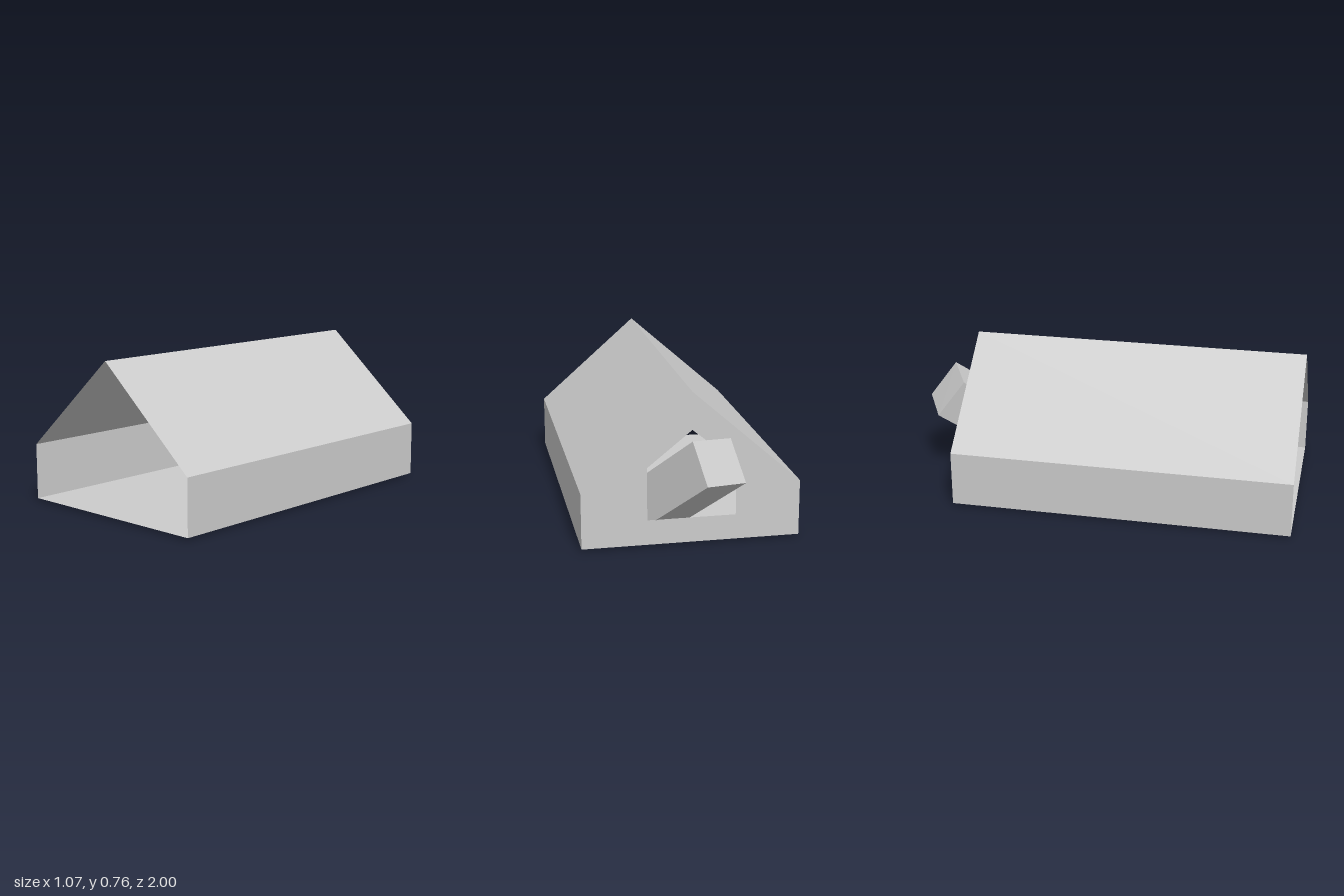
import * as THREE from 'three';

const material = new THREE.MeshStandardMaterial({ color: 0xcccccc, flatShading: true, side: THREE.DoubleSide });

function addMesh(parent, name, geometry) {
  const mesh = new THREE.Mesh(geometry, material);
  mesh.name = name;
  parent.add(mesh);
  return mesh;
}

// Joins closed cross-sections (outward winding) with flat quads.
function loft(rings, capped) {
  const out = [];
  const quad = (a, b, c, d) => [a, b, c, a, c, d].forEach((p) => out.push(...p));
  for (let r = 0; r + 1 < rings.length; r++) {
    const near = rings[r], far = rings[r + 1];
    near.forEach((p, i) => {
      const j = (i + 1) % near.length;
      quad(p, near[j], far[j], far[i]);
    });
  }
  if (capped) {
    quad(...[...rings[0]].reverse());
    quad(...rings[rings.length - 1]);
  }
  const g = new THREE.BufferGeometry();
  g.setAttribute('position', new THREE.Float32BufferAttribute(out, 3));
  g.computeVertexNormals();
  return g;
}

export function createModel() {
  const group = new THREE.Group();
  const front = 1, back = -0.72;

  // Thin house shell: floor, side walls and gable roof, open at the front
  const profile = [[-0.535, 0.012], [0.535, 0.012], [0.535, 0.29], [0, 0.76], [-0.535, 0.29]];
  const ring = (z) => profile.map(([x, y]) => [x, y, z]);
  addMesh(group, 'houseShell', loft([ring(back), ring(front)], false));

  // Back wall with a gabled opening
  const toPoints = (list) => list.map(([x, y]) => new THREE.Vector2(x, y));
  const wall = new THREE.Shape(toPoints(profile));
  const opening = [[-0.217, 0.137], [0.217, 0.137], [0.217, 0.4], [0, 0.575], [-0.217, 0.4]];
  wall.holes.push(new THREE.Path(toPoints(opening)));
  addMesh(group, 'backWall', new THREE.ShapeGeometry(wall)).position.z = back;

  // Slanted chute through the opening, ending in a wedge resting on the floor
  const start = [[-0.177, 0.535, -0.755], [-0.22, 0.355, -0.89], [-0.012, 0.385, -1], [0.03, 0.565, -0.867]];
  const middle = start.map(([x, y, z]) => [x + 0.241, y - 0.318, z + 0.353]);
  const tip = [[0.23, 0.002, -0.165], [0.2, 0, -0.27], [0.405, 0.03, -0.38], [0.437, 0.035, -0.275]];
  addMesh(group, 'chute', loft([start, middle, tip], true));

  return group;
}
